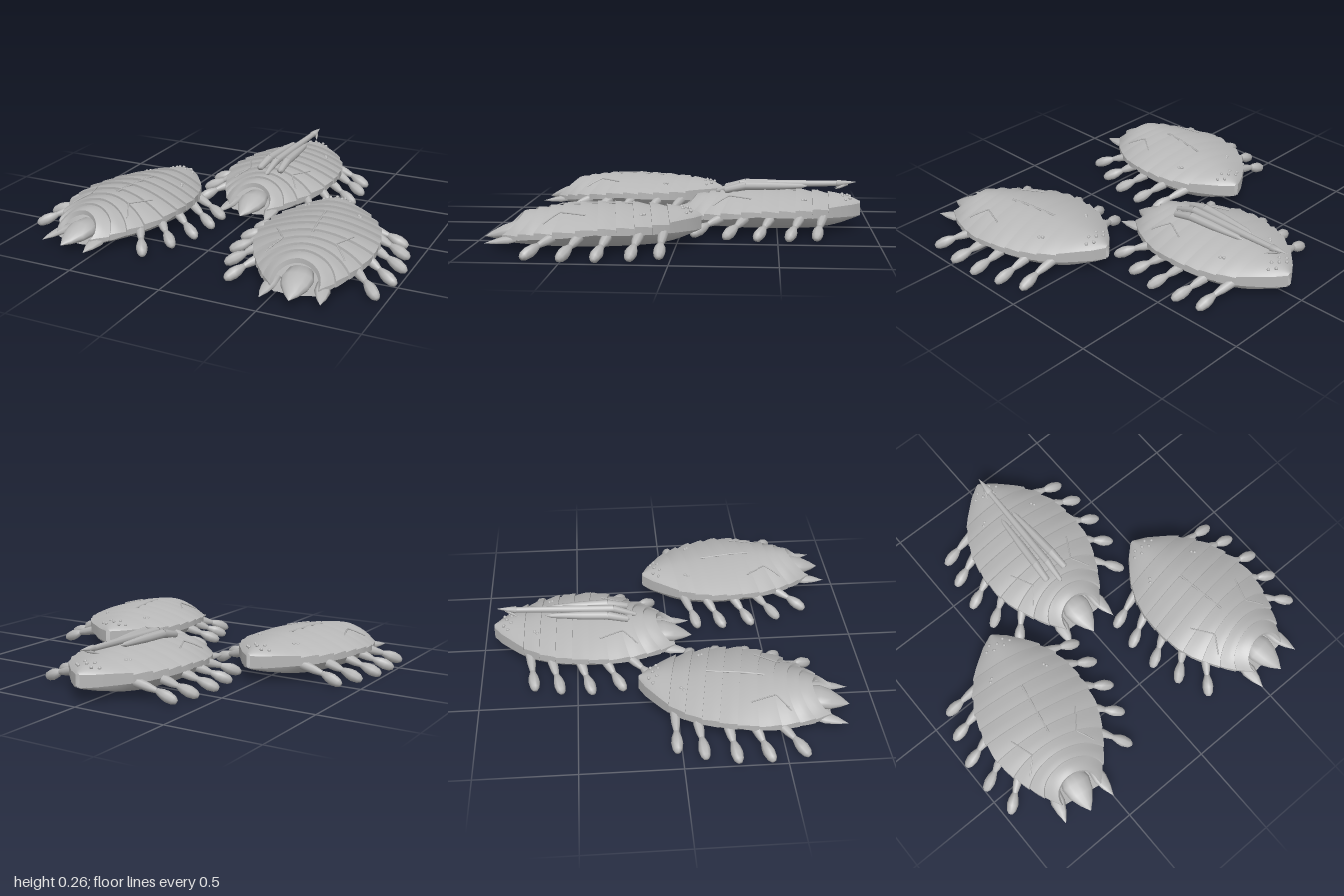
import * as THREE from 'three';

const grey = new THREE.MeshStandardMaterial({ color: 0xb6b6b6, side: THREE.DoubleSide });
grey.name = 'shell grey';

// Piecewise interpolation through [z, value] pairs
const ramp = (pairs) => (z) => {
  if (z <= pairs[0][0]) return pairs[0][1];
  for (let i = 1; i < pairs.length; i++) {
    const [z0, a] = pairs[i - 1], [z1, b] = pairs[i];
    if (z <= z1) return a + ((b - a) * (z - z0)) / (z1 - z0);
  }
  return pairs[pairs.length - 1][1];
};

// Body outline along its length: head at -z, tail at +z
const halfWidth = ramp([[-0.53, 0.012], [-0.5, 0.06], [-0.37, 0.19], [-0.28, 0.245], [-0.19, 0.28], [-0.05, 0.303],
  [0.05, 0.3], [0.13, 0.285], [0.22, 0.25], [0.31, 0.205], [0.37, 0.165], [0.44, 0.11]]);
const roof = ramp([[-0.53, 0.145], [-0.48, 0.163], [-0.37, 0.18], [-0.2, 0.193], [0, 0.198], [0.15, 0.19],
  [0.3, 0.17], [0.38, 0.145], [0.44, 0.11]]);
const rim = ramp([[-0.53, 0.135], [-0.37, 0.125], [0, 0.12], [0.3, 0.085], [0.44, 0.06]]);
const skirt = ramp([[-0.53, 0.07], [-0.37, 0.085], [0, 0.1], [0.3, 0.065], [0.44, 0.042]]);
const shellY = (u, z) => rim(z) + (roof(z) - rim(z)) * (1 - Math.abs(u) ** 1.8);
const onShell = (x, z, lift = 0.008) => new THREE.Vector3(x, shellY(Math.min(1, Math.abs(x) / halfWidth(z)), z) + lift, z);

function add(parent, name, geometry) {
  const mesh = new THREE.Mesh(geometry, grey);
  mesh.name = name;
  parent.add(mesh);
  return mesh;
}

// Surface through a grid of points
function loft(rows) {
  const n = rows[0].length, index = [];
  for (let r = 0; r < rows.length - 1; r++) {
    for (let c = 0; c < n - 1; c++) {
      const a = r * n + c, b = a + n;
      index.push(a, b, a + 1, b, b + 1, a + 1);
    }
  }
  const g = new THREE.BufferGeometry();
  g.setAttribute('position', new THREE.Float32BufferAttribute(rows.flat(2), 3));
  g.setIndex(index);
  g.computeVertexNormals();
  return g;
}

// Turned shape from one point to another; profile is [radius, fraction of length]
function spindle(parent, name, from, to, profile, flat = 1, sides = 10) {
  const a = new THREE.Vector3(...from), d = new THREE.Vector3(...to).sub(a), length = d.length();
  const g = new THREE.LatheGeometry(profile.map(([r, t]) => new THREE.Vector2(r, t * length)), sides);
  const mesh = add(parent, name, g);
  mesh.position.copy(a);
  mesh.quaternion.setFromUnitVectors(new THREE.Vector3(0, 1, 0), d.normalize());
  mesh.scale.z = flat;
  return mesh;
}

function tube(parent, name, points, radius) {
  const path = new THREE.CatmullRomCurve3(points, false, 'catmullrom', 0.1);
  return add(parent, name, new THREE.TubeGeometry(path, 24, radius, 5));
}

// One overlapping back plate with a raised rear lip; edges bow rearwards near the tail
function plateGeometry(z0, z1) {
  const bow = (z) => 0.1 * THREE.MathUtils.smoothstep(z, -0.05, 0.34);
  const across = [];
  for (let i = 0; i <= 24; i++) across.push([i / 12 - 1, false]);
  across.unshift([-1, true], [-1, false]);
  across.push([1, false], [1, true]);
  const steps = [[0, 0], [0.25, 0.004], [0.5, 0.008], [0.75, 0.011], [1, 0.012], [1, 0.012], [1, -0.012]];
  return loft(steps.map(([t, lift]) => across.map(([u, low]) => {
    const zc = z0 + (z1 - z0) * t;
    const z = zc + bow(zc) * u * u;
    const y = low ? skirt(z) : shellY(u, z);
    return [u * (halfWidth(z) + lift * 0.5), y + (low ? 0 : lift), z];
  })));
}

function bellyGeometry() {
  const rows = [];
  for (let i = 0; i <= 28; i++) {
    const z = -0.53 + (0.97 * i) / 28, w = halfWidth(z), s = skirt(z);
    const low = s - (s - 0.022) * (1 - Math.abs(z / 0.53) ** 6);
    const half = [[0.98, s + 0.004], [0.86, s * 0.45 + low * 0.55], [0.72, low + 0.008], [0.4, low + 0.002]];
    rows.push([...half.map(([k, y]) => [k * w, y, z]), [0, low, z], ...half.reverse().map(([k, y]) => [-k * w, y, z])]);
  }
  return loft(rows);
}

const edges = [-0.53, -0.36, -0.275, -0.19, -0.105, -0.02, 0.065, 0.145, 0.21, 0.27, 0.34];
const plates = edges.slice(1).map((z, i) => plateGeometry(edges[i], z));
const belly = bellyGeometry();
const bump = new THREE.SphereGeometry(0.009, 8, 6);

// Legs: root x, root z, foot x, foot z
const legs = [[0.19, -0.33, 0.405, -0.295], [0.26, -0.21, 0.435, -0.155], [0.28, -0.06, 0.445, 0.005],
  [0.27, 0.07, 0.42, 0.165], [0.22, 0.18, 0.365, 0.335]];
const bumps = [[-0.07, -0.45], [-0.04, -0.475], [0, -0.46], [0.04, -0.475], [0.07, -0.45], [-0.03, -0.435],
  [0.03, -0.435], [-0.13, -0.29], [-0.115, -0.305], [0.16, -0.24], [0.17, -0.225]];

function creature(name) {
  const g = new THREE.Group();
  g.name = name;
  plates.forEach((p) => add(g, 'backPlate', p));
  add(g, 'belly', belly);

  // Tail fan
  const tail = [[0, 0], [0.06, 0], [0.078, 0.3], [0.066, 0.55], [0.035, 0.8], [0, 1]];
  spindle(g, 'tailSpike', [0, 0.092, 0.31], [0, 0.045, 0.535], tail, 0.55, 12);
  const fin = [[0, 0], [0.03, 0], [0.038, 0.4], [0.024, 0.7], [0, 1]];

  for (const s of [-1, 1]) {
    spindle(g, 'sideTailSpike', [s * 0.115, 0.06, 0.34], [s * 0.142, 0.038, 0.525], fin, 0.45, 8);
    // Legs with club-shaped feet
    for (const [x0, z0, x1, z1] of legs) {
      const reach = Math.hypot(x1 - x0, z1 - z0), t = 1 - 0.105 / reach;
      const knee = [s * (x0 + (x1 - x0) * t), 0.055, z0 + (z1 - z0) * t];
      spindle(g, 'leg', [s * x0, 0.085, z0], knee, [[0.026, 0], [0.022, 0.6], [0.014, 1]], 1, 8);
      spindle(g, 'foot', knee, [s * x1, 0.012, z1],
        [[0, -0.05], [0.014, 0], [0.026, 0.3], [0.03, 0.55], [0.024, 0.85], [0.012, 1], [0, 1.01]], 1, 8);
    }
    // Thin feelers lying over the rear plates
    tube(g, 'feeler', [[0.19, 0.04], [0.165, 0.09], [0.13, 0.16], [0.16, 0.2], [0.19, 0.24]]
      .map(([x, z]) => onShell(s * x, z, 0.016)), 0.004);
  }

  // Low keel and pebbled bumps
  tube(g, 'keel', [-0.19, -0.1, 0, 0.1].map((z) => onShell(0, z, 0.008)), 0.006);
  for (const [x, z] of bumps) add(g, 'bump', bump).position.copy(onShell(x, z, 0.009));
  return g;
}

export function createModel() {
  const model = new THREE.Group();
  model.name = 'creatureTrio';
  const places = [['rearCreature', 0.012, -0.41, -0.033], ['rightCreature', -0.555, 0.335, -0.17],
    ['leftCreature', 0.55, 0.405, 0.15]];
  for (const [name, x, z, turn] of places) {
    const c = creature(name);
    c.position.set(x, 0, z);
    c.rotation.y = turn;
    model.add(c);
  }

  // Long barbed spine and two side rods on the rear creature
  const spine = new THREE.Group();
  spine.name = 'backSpine';
  model.add(spine);
  spindle(spine, 'spineRoot', [0.01, 0.185, -0.17], [0.014, 0.228, -0.3], [[0, 0], [0.013, 0.1], [0.02, 1]], 1, 8);
  spindle(spine, 'spineShaft', [0.014, 0.228, -0.3], [0.028, 0.238, -0.84], [[0.02, 0], [0.02, 0.4], [0.014, 1]], 1, 8);
  spindle(spine, 'spineTip', [0.028, 0.237, -0.8], [0.03, 0.247, -0.92], [[0, 0], [0.022, 0.15], [0.014, 0.5], [0, 1]], 0.8, 8);
  for (const s of [-1, 1]) {
    spindle(spine, 'barb', [0.028, 0.235, -0.87], [0.028 + s * 0.03, 0.21, -0.8], [[0.008, 0], [0.007, 0.6], [0, 1]], 1, 6);
    spindle(spine, 'sideRod', [0.012 + s * 0.062, 0.2, -0.215], [0.012 + s * 0.055, 0.225, -0.33],
      [[0, 0], [0.018, 0.08], [0.023, 1]], 1, 8);
    spindle(spine, 'sideRod', [0.012 + s * 0.055, 0.225, -0.33], [0.016 + s * 0.036, 0.225, -0.66],
      [[0.023, 0], [0.022, 0.4], [0.013, 0.9], [0, 1]], 1, 8);
  }
  return model;
}
